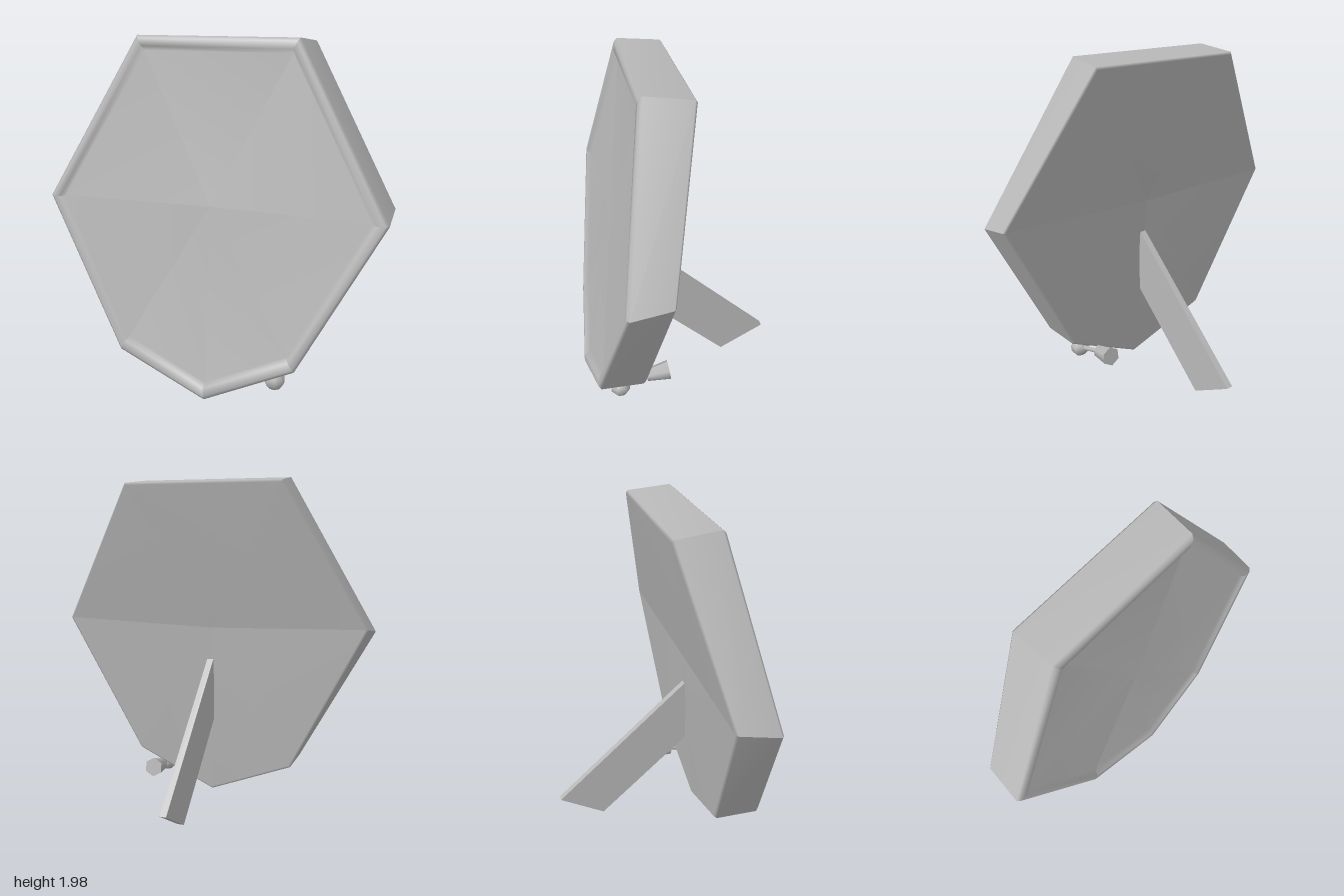
import * as THREE from 'three';

const V = (x, y, z) => new THREE.Vector3(x, y, z);

// Seven corners of the tilted frame, anticlockwise from the top left-hand side
const FRONT = [V(0.45, 1.99, 0.25), V(-0.47, 1.99, 0.25), V(-0.97, 1.08, 0.42), V(-0.5, 0.23, 0.54),
  V(0.03, 0.03, 0.59), V(0.53, 0.26, 0.54), V(0.97, 1.08, 0.41)];
const BACK = [V(0.48, 1.96, -0.03), V(-0.48, 1.96, -0.03), V(-0.95, 1.12, 0.17), V(-0.49, 0.22, 0.26),
  V(0.03, 0.01, 0.29), V(0.52, 0.25, 0.26), V(0.97, 1.12, 0.17)];
const FRONT_HUB = V(0, 1.09, 0.41), BACK_HUB = V(0, 1.09, 0.18);

// Wedge profile from front hub over the rim to back hub: [distance from hub, depth]
const PROFILE = [[0, 0.16], [0.91, 0.1], [0.935, 0], [0.98, 0], [1, 0.06], [1, 0.95], [0.985, 1], [0, 0.96]];

function profilePoint([s, d], i) {
  const hub = FRONT_HUB.clone().lerp(BACK_HUB, d);
  const corner = FRONT[i % 7].clone().lerp(BACK[i % 7], d);
  return hub.lerp(corner, s);
}

// One smooth wedge between two neighbouring corners
function wedgeGeometry(i) {
  const pos = [], index = [], last = PROFILE.length - 2;
  PROFILE.forEach((p) => pos.push(...profilePoint(p, i).toArray(), ...profilePoint(p, i + 1).toArray()));
  for (let k = 0; k <= last; k++) {
    const a = 2 * k, b = a + 1, d = a + 2, c = a + 3;
    if (k < last) index.push(a, d, c);
    if (k > 0) index.push(a, c, b);
  }
  const g = new THREE.BufferGeometry();
  g.setAttribute('position', new THREE.Float32BufferAttribute(pos, 3));
  g.setIndex(index);
  g.computeVertexNormals();
  return g;
}

export function createModel() {
  const grey = new THREE.MeshStandardMaterial({ color: 0xb8b8b8 });
  grey.name = 'plain grey';
  const model = new THREE.Group();
  model.name = 'standingFrame';
  const add = (name, geometry, parent = model) => {
    const mesh = new THREE.Mesh(geometry, grey);
    mesh.name = name;
    parent.add(mesh);
    return mesh;
  };
  const between = (mesh, a, b) => {
    mesh.position.copy(a).lerp(b, 0.5);
    mesh.quaternion.setFromUnitVectors(V(0, 1, 0), b.clone().sub(a).normalize());
  };

  // Seven-sided shallow dish
  const dish = new THREE.Group();
  dish.name = 'dish';
  model.add(dish);
  for (let i = 0; i < 7; i++) add('dishWedge' + (i + 1), wedgeGeometry(i), dish);

  // Rear prop, a slanted flat plate
  const plate = new THREE.Shape([[-0.22, 0.9], [-0.22, 0.5], [0.32, 0.01], [0.59, 0.16]]
    .map(([u, v]) => new THREE.Vector2(u, v)));
  const prop = new THREE.ExtrudeGeometry(plate, { depth: 0.04, bevelEnabled: false });
  prop.rotateY(Math.PI / 2);
  prop.translate(-0.005, 0, 0);
  add('rearProp', prop);

  // Small winding key under the lower edge
  const key = new THREE.Group();
  key.name = 'windingKey';
  model.add(key);
  const knobEnd = V(0.39, 0.125, 0.4), capEnd = V(0.36, 0.18, 0.16);
  const knob = add('keyKnob', new THREE.SphereGeometry(0.06, 7, 5), key);
  knob.position.copy(knobEnd);
  knob.scale.set(1, 0.92, 1);
  between(add('keyRod', new THREE.CylinderGeometry(0.014, 0.016, 0.24, 6), key), knobEnd, capEnd);
  between(add('keyCap', new THREE.CylinderGeometry(0.06, 0.038, 0.14, 6), key), V(0.36, 0.16, 0.235), V(0.36, 0.182, 0.095));
  return model;
}
